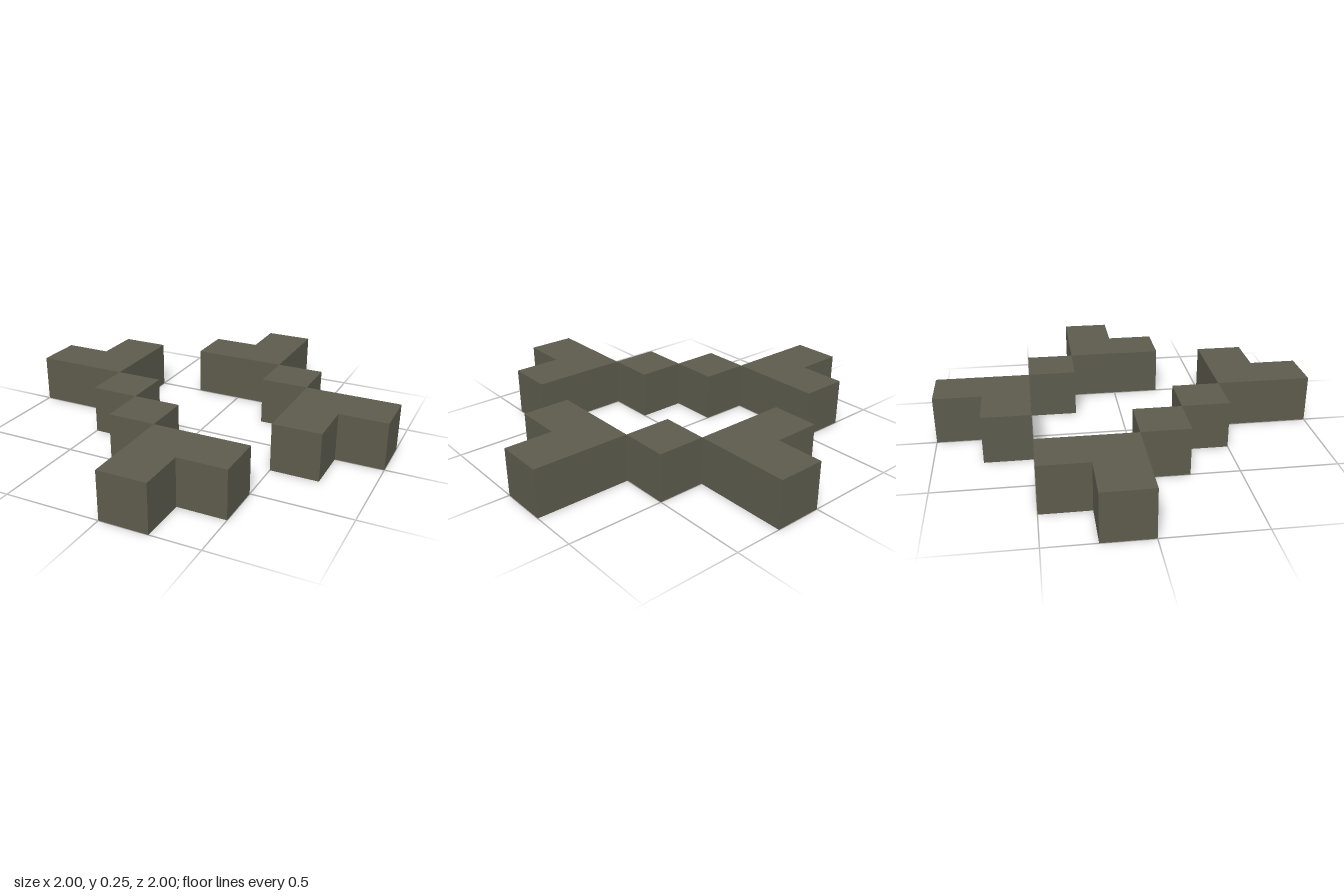
import * as THREE from 'three';
import { mergeGeometries } from 'three/addons/utils/BufferGeometryUtils.js';

const CELL = 0.25;

// Outlines in cell units, counter-clockwise from above (second value points to the back)
const SQUARE = [[0, 0], [1, 0], [1, 1], [0, 1]];
const BACK_ELL = [[0, 0], [2, 0], [2, 2], [1, 2], [1, 1], [0, 1]];
const FRONT_ELL = [[0, 0], [1, 0], [1, 1], [2, 1], [2, 2], [0, 2]];

// Hollow block: flat top and outer walls, open underneath
function openBlock(outline, column, row) {
  const points = outline.map(([x, y]) => new THREE.Vector2((x + column) * CELL, (y + row) * CELL));
  const top = new THREE.ShapeGeometry(new THREE.Shape(points));
  top.rotateX(-Math.PI / 2).translate(0, CELL, 0);

  const walls = points.map((a, i) => {
    const b = points[(i + 1) % points.length];
    const wall = new THREE.PlaneGeometry(a.distanceTo(b), CELL);
    wall.rotateY(Math.atan2(b.y - a.y, b.x - a.x));
    return wall.translate((a.x + b.x) / 2, CELL / 2, -(a.y + b.y) / 2);
  });
  return mergeGeometries([top, ...walls]);
}

export function createModel() {
  const model = new THREE.Group();
  model.name = 'blockChains';
  const olive = new THREE.MeshStandardMaterial({ color: 0x5c5b4c, side: THREE.DoubleSide });
  olive.name = 'darkOlive';

  const parts = [
    // Right-hand chain
    ['backEllBlock', BACK_ELL, -1, 2],
    ['linkBlock', SQUARE, 1, 1],
    ['sideEllBlock', FRONT_ELL, 2, -1],
    // Left-hand chain
    ['sideBackEllBlock', BACK_ELL, -4, 0],
    ['upperLinkBlock', SQUARE, -2, -1],
    ['lowerLinkBlock', SQUARE, -1, -2],
    ['frontEllBlock', FRONT_ELL, 0, -4],
  ];
  for (const [name, outline, column, row] of parts) {
    const mesh = new THREE.Mesh(openBlock(outline, column, row), olive);
    mesh.name = name;
    model.add(mesh);
  }
  return model;
}
